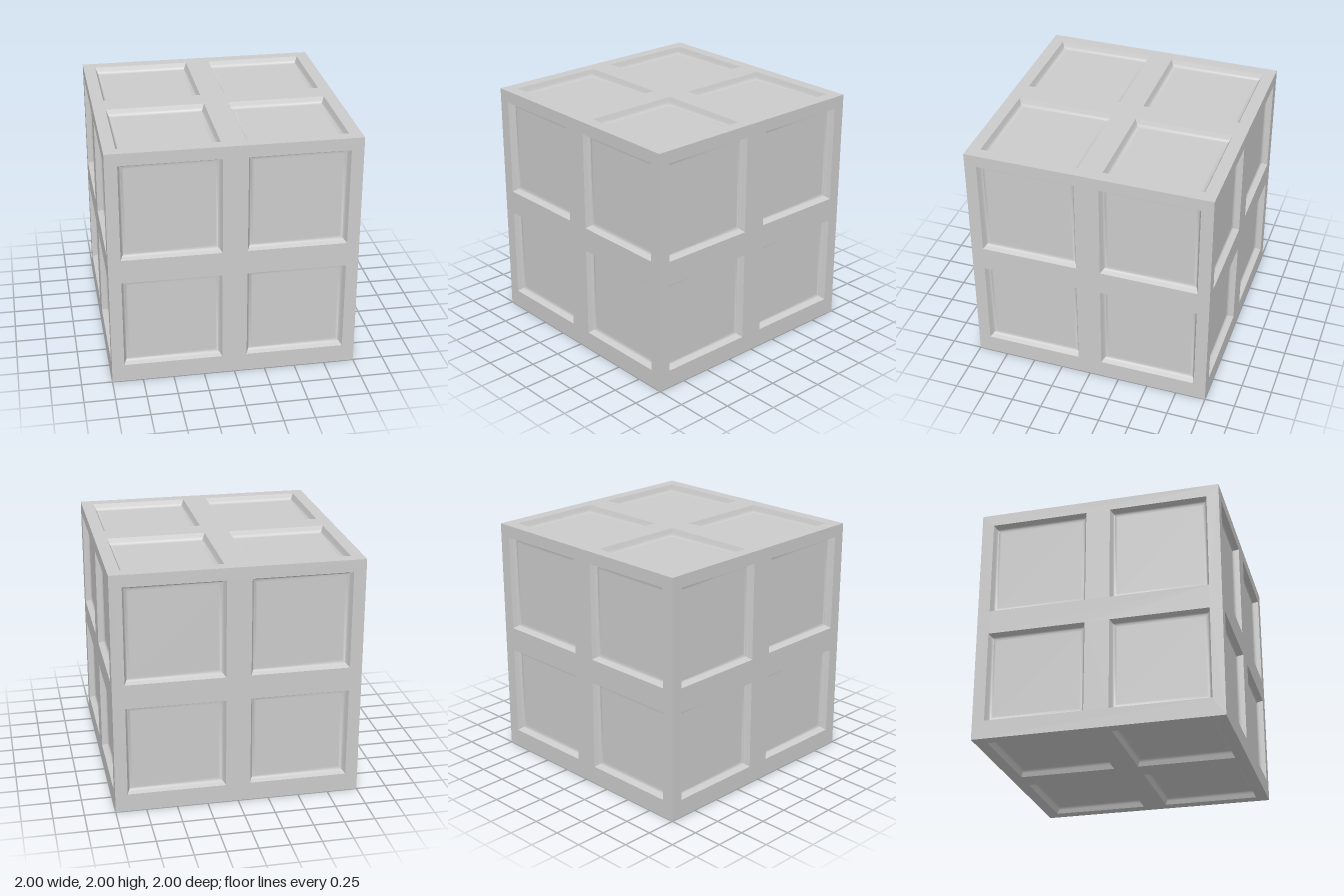
import * as THREE from 'three';
import { toCreasedNormals } from 'three/addons/utils/BufferGeometryUtils.js';

const material = new THREE.MeshStandardMaterial({ color: 0xcccccc });

// Wall profile of a recess: [inset from the rim, depth]
const PROFILE = [[0, 0], [0.012, 0.03], [0.018, 0.045], [0.028, 0.055], [0.05, 0.055]];

// Counter-clockwise corners of a rectangle, shrunk by an inset
const corners = ([x0, x1, y0, y1], i = 0) => [
  [x0 + i, y0 + i], [x1 - i, y0 + i], [x1 - i, y1 - i], [x0 + i, y1 - i],
];

// Sunken panel: rectangular rings stepping inwards, closed by a flat floor
function recessGeometry(rect) {
  const positions = [], index = [];
  PROFILE.forEach(([inset, depth], ring) => {
    for (const [x, y] of corners(rect, inset)) positions.push(x, y, -depth);
    if (ring === 0) return;
    for (let j = 0; j < 4; j++) {
      const k = (j + 1) % 4, outer = (ring - 1) * 4, inner = ring * 4;
      index.push(outer + j, outer + k, inner + k, outer + j, inner + k, inner + j);
    }
  });
  const f = (PROFILE.length - 1) * 4;
  index.push(f, f + 1, f + 2, f, f + 2, f + 3);
  const geometry = new THREE.BufferGeometry();
  geometry.setAttribute('position', new THREE.Float32BufferAttribute(positions, 3));
  geometry.setIndex(index);
  return toCreasedNormals(geometry, 0.9);
}

// One cube face: a frame with four openings, each holding a recess
function createFace(name, bottom) {
  const face = new THREE.Group();
  face.name = name;
  const toVectors = (points) => points.map(([x, y]) => new THREE.Vector2(x, y));
  const shape = new THREE.Shape(toVectors(corners([-1, 1, -1, 1])));
  for (const [x0, x1] of [[-0.9, -0.1], [0.1, 0.9]]) {
    for (const [y0, y1] of [[bottom, -0.1], [0.1, 0.9]]) {
      const rect = [x0, x1, y0, y1];
      shape.holes.push(new THREE.Path(toVectors(corners(rect).reverse())));
      const recess = new THREE.Mesh(recessGeometry(rect), material);
      recess.name = 'recessedPanel';
      face.add(recess);
    }
  }
  const frame = new THREE.Mesh(new THREE.ShapeGeometry(shape), material);
  frame.name = 'frame';
  face.add(frame);
  // Push all parts out to the cube surface
  for (const part of face.children) part.position.z = 1;
  return face;
}

export function createModel() {
  const model = new THREE.Group();
  model.name = 'panelledCube';
  const cube = new THREE.Group();
  cube.name = 'cube';
  cube.position.y = 1;
  model.add(cube);

  // Four sides, with a slightly taller bottom rail
  ['frontFace', 'leftFace', 'backFace', 'rightFace'].forEach((name, i) => {
    const face = createFace(name, -0.85);
    face.rotation.y = (i * Math.PI) / 2;
    cube.add(face);
  });

  // Top and bottom, with even rails
  for (const [name, sign] of [['topFace', -1], ['bottomFace', 1]]) {
    const face = createFace(name, -0.9);
    face.rotation.x = (sign * Math.PI) / 2;
    cube.add(face);
  }
  return model;
}
